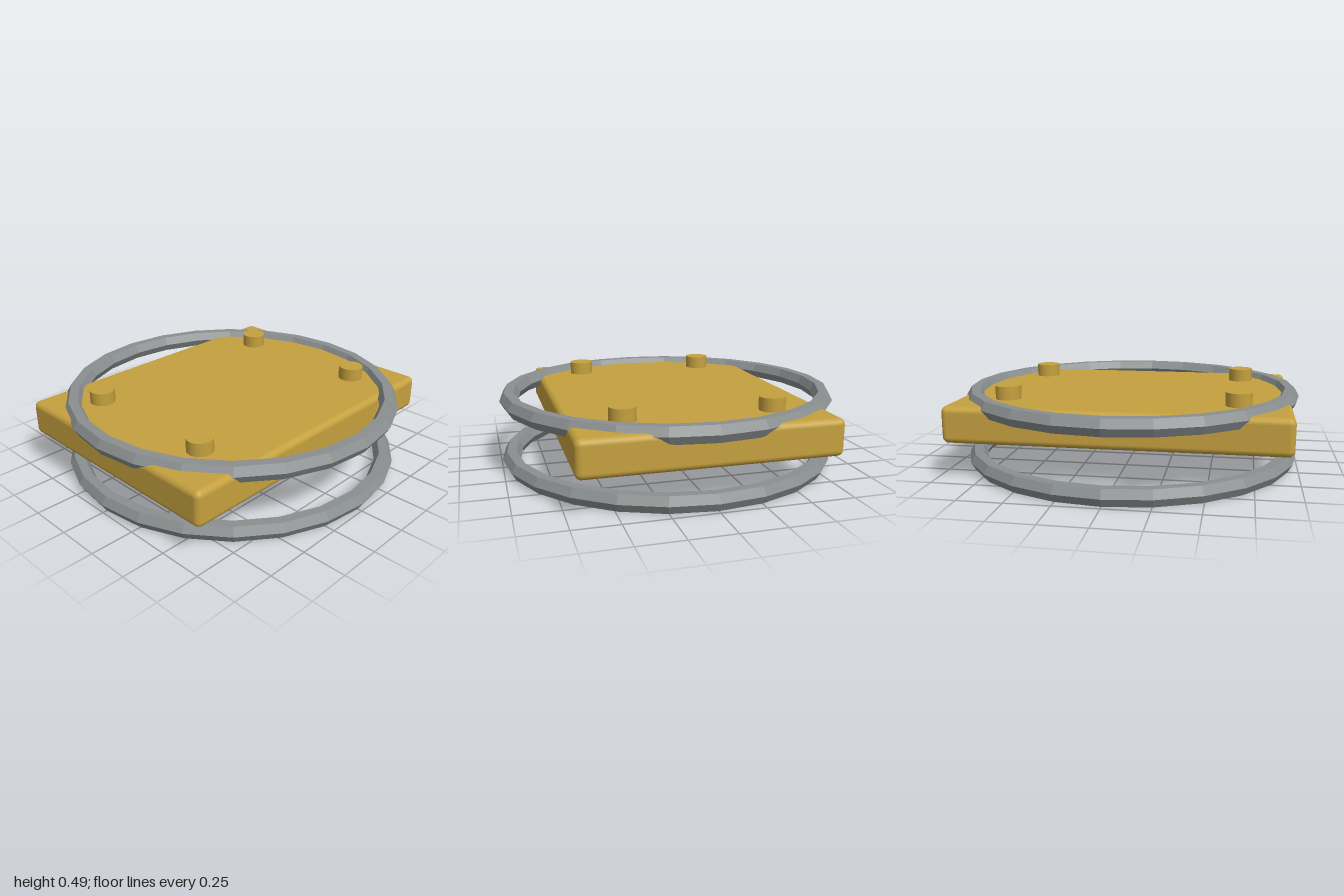
import * as THREE from 'three';
import { RoundedBoxGeometry } from 'three/addons/geometries/RoundedBoxGeometry.js';

export function createModel() {
  const model = new THREE.Group();
  model.name = 'ringedPlate';

  const gold = new THREE.MeshStandardMaterial({ color: 0xc4a03e });
  gold.name = 'gold';
  const grey = new THREE.MeshStandardMaterial({ color: 0x8a8f8f });
  grey.name = 'steel grey';

  const add = (name, geometry, material, x, y, z) => {
    const mesh = new THREE.Mesh(geometry, material);
    mesh.name = name;
    mesh.position.set(x, y, z);
    model.add(mesh);
  };

  // Rounded slab
  add('plate', new RoundedBoxGeometry(1.888, 0.206, 1.416, 4, 0.035), gold, 0, 0.314, 0);

  // Faceted hexagonal-section rings, below and around the slab
  const tube = 0.054;
  const half = tube * Math.sin(Math.PI / 3);
  const ring = new THREE.TorusGeometry(1 - tube, tube, 6, 24).rotateX(Math.PI / 2).toNonIndexed();
  ring.computeVertexNormals();
  add('lowerRing', ring, grey, 0, half, 0);
  add('upperRing', ring, grey, 0, 0.449 - half, 0);

  // Four pegs on the top
  const peg = new THREE.CylinderGeometry(0.073, 0.073, 0.1, 24);
  for (const x of [-0.652, 0.652]) {
    for (const z of [-0.415, 0.415]) add('peg', peg, gold, x, 0.443, z);
  }

  return model;
}
